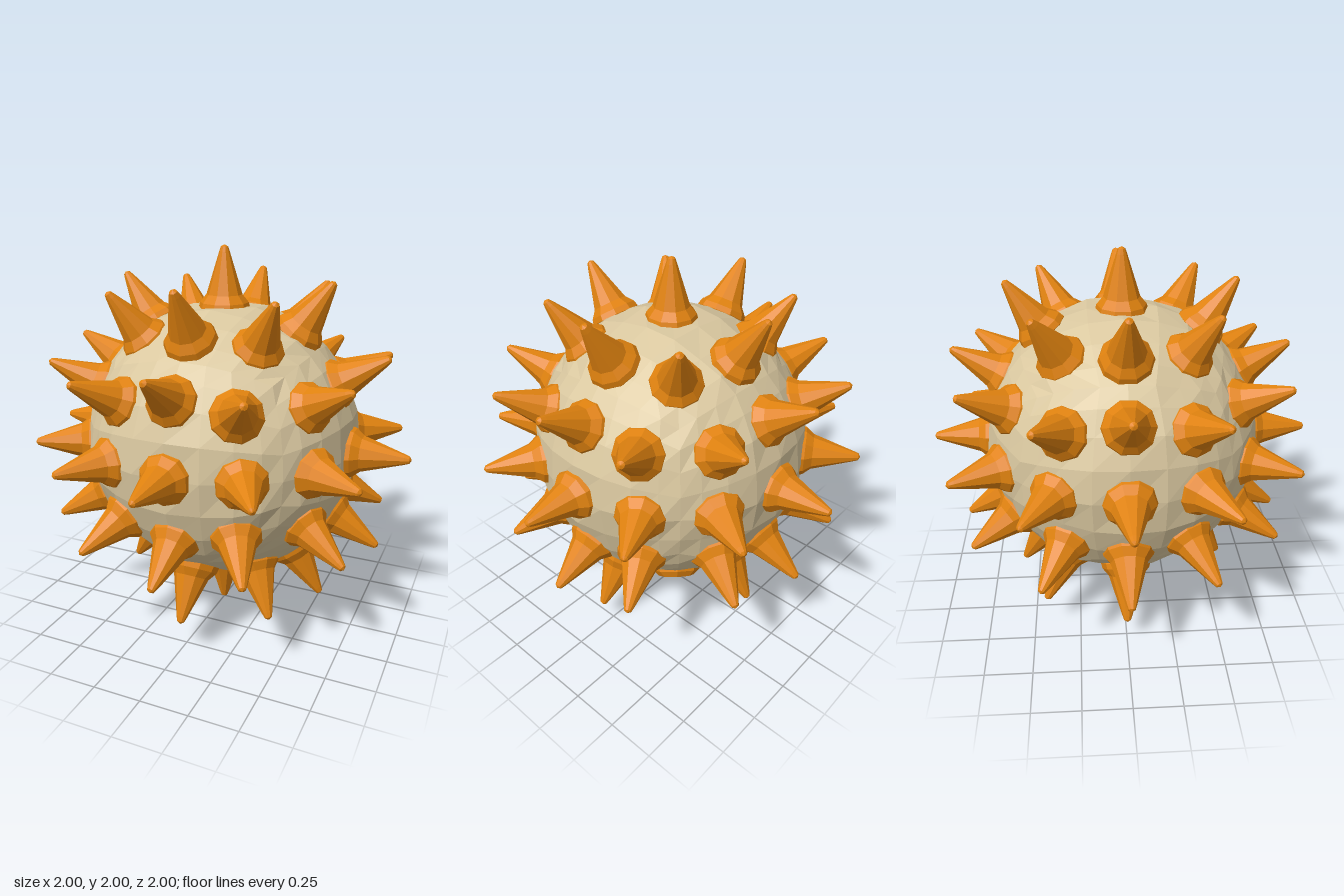
import * as THREE from 'three';

const shell = new THREE.MeshStandardMaterial({ color: 0xdac8a0, flatShading: true });
shell.name = 'pale shell';
const orange = new THREE.MeshStandardMaterial({ color: 0xe0820f, flatShading: true });
orange.name = 'orange spike';

const R = 0.72, FLAT = 0.7;
const UP = new THREE.Vector3(0, 1, 0);
const pitDir = new THREE.Vector3(-0.43, -0.8, 0.43).normalize();

// Faceted ball: a gridded cube pushed out to a sphere, flattened at the six poles
function makeBody() {
  const geo = new THREE.BoxGeometry(2, 2, 2, 8, 8, 8);
  const pos = geo.attributes.position;
  const v = new THREE.Vector3();
  for (let i = 0; i < pos.count; i++) {
    v.fromBufferAttribute(pos, i).normalize();
    const bump = 0.012 * Math.sin(v.x * 17 + 1) * Math.sin(v.y * 19 + 2) * Math.sin(v.z * 23 + 3);
    const angle = v.angleTo(pitDir);
    // broken-in hollow where one spike is missing
    const dent = angle < 0.3 ? 0.13 * Math.min(1, (0.3 - angle) / 0.12) : 0;
    v.multiplyScalar(R + bump - dent);
    v.clampScalar(-FLAT, FLAT);
    pos.setXYZ(i, v.x, v.y, v.z);
  }
  const body = new THREE.Mesh(geo, shell);
  body.name = 'body';
  return body;
}

const lathe = (pts, sides) =>
  new THREE.LatheGeometry(pts.map(([r, h]) => new THREE.Vector2(r, h)), sides);

// Heights are measured from the centre of the ball
const spikeGeo = lathe([[0.1, 0.63], [0.133, 0.685], [0.125, 0.715], [0.092, 0.755],
  [0.027, 0.965], [0.018, 0.99], [0, 1]], 10);
const stubGeo = lathe([[0.1, 0.63], [0.133, 0.69], [0.125, 0.72], [0.092, 0.75], [0, 0.75]], 8);
const socketGeo = lathe([[0.11, 0.52], [0.11, 0.6], [0.08, 0.615], [0, 0.6]], 8);

function place(geo, dir, name, lift = 0) {
  const mesh = new THREE.Mesh(geo, orange);
  mesh.name = name;
  mesh.quaternion.setFromUnitVectors(UP, dir);
  mesh.position.copy(dir).multiplyScalar(lift);
  return mesh;
}

export function createModel() {
  const model = new THREE.Group();
  model.name = 'spikyBall';
  const ball = new THREE.Group();
  ball.name = 'ball';
  ball.position.y = 1;
  ball.add(makeBody());

  // Three by three spikes on each of the six sides
  for (let axis = 0; axis < 3; axis++) {
    for (const side of [-1, 1]) {
      for (let a = -1; a <= 1; a++) {
        for (let b = -1; b <= 1; b++) {
          const corner = a !== 0 && b !== 0;
          const edge = !corner && (a !== 0 || b !== 0);
          const vertical = axis === 1;
          const t = corner ? 0.54 : vertical ? 0.68 : 0.575;
          const c = [0, 0, 0];
          c[axis] = side;
          c[(axis + 1) % 3] = a * t;
          c[(axis + 2) % 3] = b * t;
          const dir = new THREE.Vector3(...c).normalize();
          const low = vertical && side < 0 && corner;
          if (low && dir.x < 0 && dir.z > 0) ball.add(place(socketGeo, dir, 'brokenSocket'));
          else if (low && dir.x > 0 && dir.z < 0) ball.add(place(stubGeo, dir, 'spikeStub'));
          else ball.add(place(spikeGeo, dir, 'spike', vertical && edge ? 0.02 : 0));
        }
      }
    }
  }
  model.add(ball);
  return model;
}
